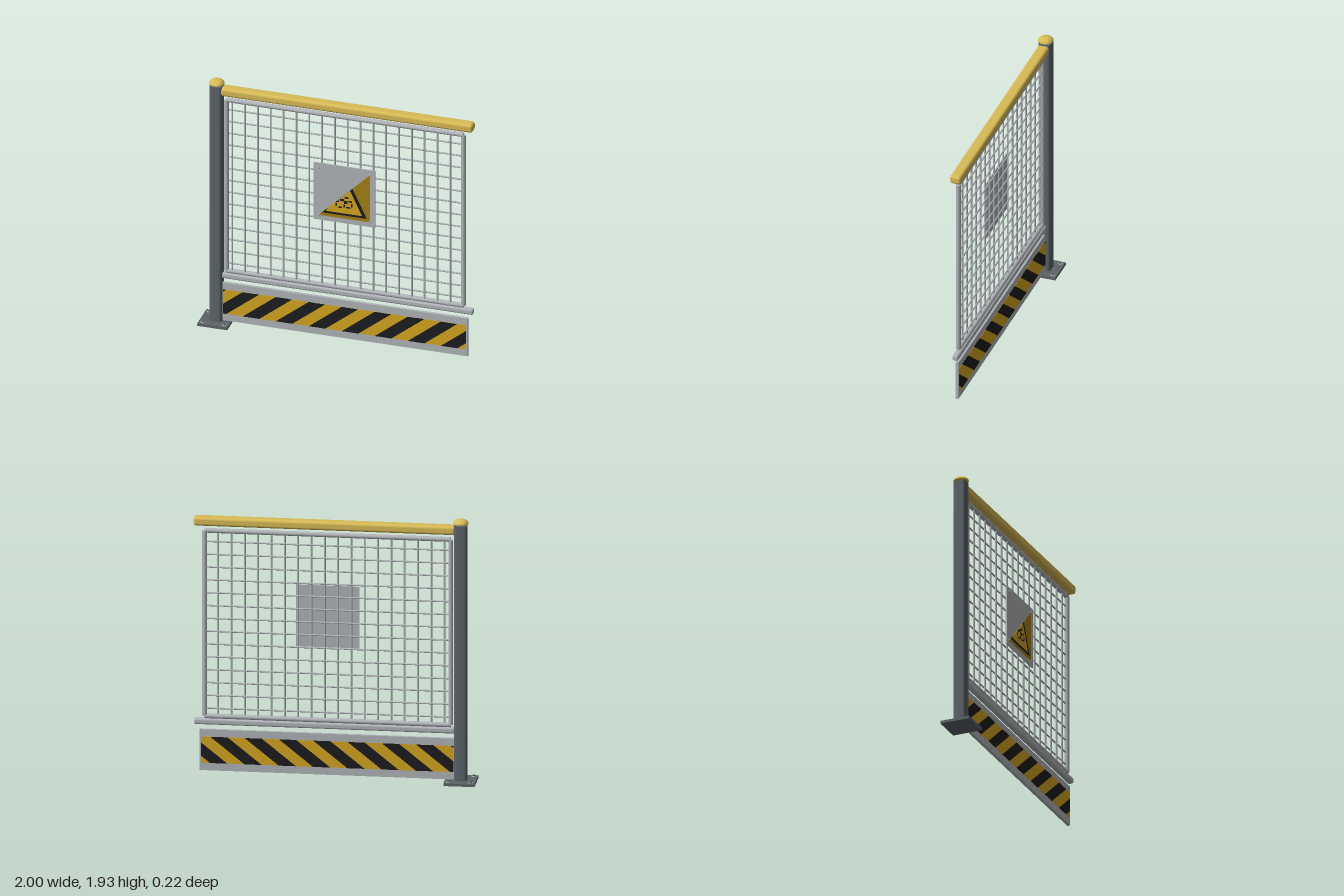
import * as THREE from 'three';
import { toCreasedNormals } from 'three/addons/utils/BufferGeometryUtils.js';
import { RoundedBoxGeometry } from 'three/addons/geometries/RoundedBoxGeometry.js';

const mat = (name, color) => Object.assign(new THREE.MeshStandardMaterial({ color }), { name });

// Keeps the part of a polygon where f(x, y) >= 0
function clip(points, f) {
  const out = [];
  points.forEach((a, i) => {
    const b = points[(i + 1) % points.length];
    const fa = f(...a), fb = f(...b);
    if (fa >= 0) out.push(a);
    if (fa * fb < 0) {
      const t = fa / (fa - fb);
      out.push([a[0] + (b[0] - a[0]) * t, a[1] + (b[1] - a[1]) * t]);
    }
  });
  return out;
}

// Flat plate from a polygon, between two depths
function plate(points, z0, z1) {
  const shape = new THREE.Shape(points.map(p => new THREE.Vector2(...p)));
  return new THREE.ExtrudeGeometry(shape, { depth: z1 - z0, bevelEnabled: false }).translate(0, 0, z0);
}

function roundedSquare(half, r) {
  const s = new THREE.Shape(), k = half - r;
  s.absarc(k, k, r, 0, Math.PI / 2);
  s.absarc(-k, k, r, Math.PI / 2, Math.PI);
  s.absarc(-k, -k, r, Math.PI, Math.PI * 1.5);
  s.absarc(k, -k, r, Math.PI * 1.5, Math.PI * 2);
  return s;
}

export function createModel() {
  const model = new THREE.Group();
  model.name = 'safetyFence';
  const postGrey = mat('postGrey', 0x5c6468);
  const steel = mat('steel', 0xb0b4b8);
  const railYellow = mat('railYellow', 0xd9bb55);
  const stripeYellow = mat('stripeYellow', 0xd3a51f);
  const labelGold = mat('labelGold', 0xa58014);
  const black = mat('black', 0x1b1c1e);

  const add = (name, geometry, material, x = 0, y = 0, z = 0, parent = model) => {
    const mesh = new THREE.Mesh(geometry, material);
    mesh.name = name;
    mesh.position.set(x, y, z);
    parent.add(mesh);
    return mesh;
  };
  const group = name => {
    const g = new THREE.Group();
    g.name = name;
    model.add(g);
    return g;
  };

  // Post, base plate and domed cap
  const postX = -0.89;
  const postGeo = new THREE.ExtrudeGeometry(roundedSquare(0.045, 0.018),
    { depth: 1.87, bevelEnabled: false, curveSegments: 6 }).rotateX(-Math.PI / 2);
  add('post', toCreasedNormals(postGeo, 0.6), postGrey, postX, 0.018);
  add('basePlate', new THREE.BoxGeometry(0.22, 0.02, 0.22), postGrey, postX, 0.01);
  const dome = [[0, 0], [0.055, 0]].map(p => new THREE.Vector2(...p));
  for (let i = 1; i <= 8; i++) {
    const a = i / 8 * Math.PI / 2;
    dome.push(new THREE.Vector2(i === 8 ? 0 : 0.055 * Math.cos(a), 0.032 * Math.sin(a)));
  }
  add('postCap', toCreasedNormals(new THREE.LatheGeometry(dome, 32), 0.7), railYellow, postX, 1.9);

  // Anchor bolts with washers
  const bolts = group('anchorBolts');
  for (const sx of [-1, 1]) for (const sz of [-1, 1]) {
    const x = postX + sx * 0.08, z = sz * 0.08;
    add('washer', new THREE.CylinderGeometry(0.015, 0.015, 0.004, 20), steel, x, 0.022, z, bolts);
    add('boltHead', new THREE.CylinderGeometry(0.009, 0.009, 0.01, 6), postGrey, x, 0.028, z, bolts);
  }

  // Handrail and lower rail
  add('handrail', new RoundedBoxGeometry(1.85, 0.064, 0.082, 4, 0.02), railYellow, 0.072, 1.851);
  add('lowerRail', new RoundedBoxGeometry(1.845, 0.044, 0.044, 4, 0.014), steel, 0.074, 0.379);

  // Tubular panel frame
  const frame = group('panelFrame');
  const bar = (name, r, length, horizontal, x, y, z, parent) => {
    const g = new THREE.CylinderGeometry(r, r, length, r > 0.01 ? 16 : 8);
    if (horizontal) g.rotateZ(Math.PI / 2);
    add(name, g, steel, x, y, z, parent);
  };
  for (const x of [-0.818, 0.922]) bar('frameUpright', 0.017, 1.355, false, x, 1.098, 0, frame);
  for (const y of [0.417, 1.779]) bar('frameCrossbar', 0.017, 1.74, true, 0.052, y, 0, frame);

  // Wire mesh: uprights in front, crosswires behind
  const wires = group('wireMesh');
  for (let i = 0; i < 18; i++) bar('wireUpright', 0.007, 1.36, false, -0.775 + i * 0.0942, 1.098, 0.005, wires);
  for (let i = 0; i < 14; i++) bar('crosswire', 0.006, 1.74, true, 0.052, 0.476 + i * 0.0942, -0.005, wires);

  // Kickboard with slanted hazard stripes on both faces
  const kick = group('kickboard');
  const left = -0.84, right = 0.945, bottom = 0.075, top = 0.267;
  add('board', new THREE.BoxGeometry(1.8, 0.3, 0.022), steel, 0.055, 0.17, 0, kick);
  add('stripePanel', new THREE.BoxGeometry(right - left, top - bottom, 0.026), stripeYellow,
    (left + right) / 2, (bottom + top) / 2, 0, kick);
  for (let i = 0; i < 9; i++) {
    const x = -0.94 + i * 0.2425, w = 0.121, lean = 0.24;
    let p = [[x - lean, bottom], [x - lean + w, bottom], [x + w, top], [x, top]];
    p = clip(clip(p, px => px - left), px => right - px);
    if (p.length > 2) add('hazardStripe', plate(p, -0.015, 0.015), black, 0, 0, 0, kick);
  }

  // Warning sign: steel plate with a gold half-label
  const sign = group('warningSign');
  const cx = 0.055, cy = 1.173, h = 0.188;
  add('signPlate', new THREE.BoxGeometry(0.45, 0.452, 0.008), steel, cx, cy, 0.024, sign);
  const below = (x, y) => (x - cx) - (y - cy);
  const layer = (name, pts, material, z) => {
    const p = clip(pts.map(([x, y]) => [cx + x, cy + y]), below);
    if (p.length > 2) add(name, plate(p, 0.028, z), material, 0, 0, 0, sign);
  };
  layer('goldLabel', [[-h, -h], [h, -h], [h, h], [-h, h]], labelGold, 0.0295);
  layer('warningBorder', [[-0.168, -0.163], [0.165, -0.163], [0, 0.19]], black, 0.031);
  layer('warningField', [[-0.134, -0.146], [0.131, -0.146], [0, 0.135]], stripeYellow, 0.0325);

  // Broken-ring pictogram
  const marks = [[-0.05, -0.055, 0.022, 0.012], [-0.057, -0.08, 0.012, 0.022], [-0.03, -0.1, 0.03, 0.01],
    [0.0, -0.085, 0.01, 0.024], [0.012, -0.055, 0.024, 0.024], [0.03, -0.095, 0.034, 0.01],
    [0.056, -0.075, 0.012, 0.026], [0.045, -0.045, 0.024, 0.012], [-0.015, -0.04, 0.03, 0.016],
    [0.018, -0.018, 0.03, 0.012]];
  for (const [x, y, w, t] of marks) {
    layer('pictogramMark', [[x - w / 2, y - t / 2], [x + w / 2, y - t / 2],
      [x + w / 2, y + t / 2], [x - w / 2, y + t / 2]], black, 0.034);
  }
  const rivet = new THREE.CylinderGeometry(0.007, 0.01, 0.008, 16).rotateX(Math.PI / 2);
  for (const sx of [-1, 1]) for (const sy of [-1, 1]) add('rivet', rivet, steel, cx + sx * h, cy + sy * h, 0.031, sign);

  return model;
}
